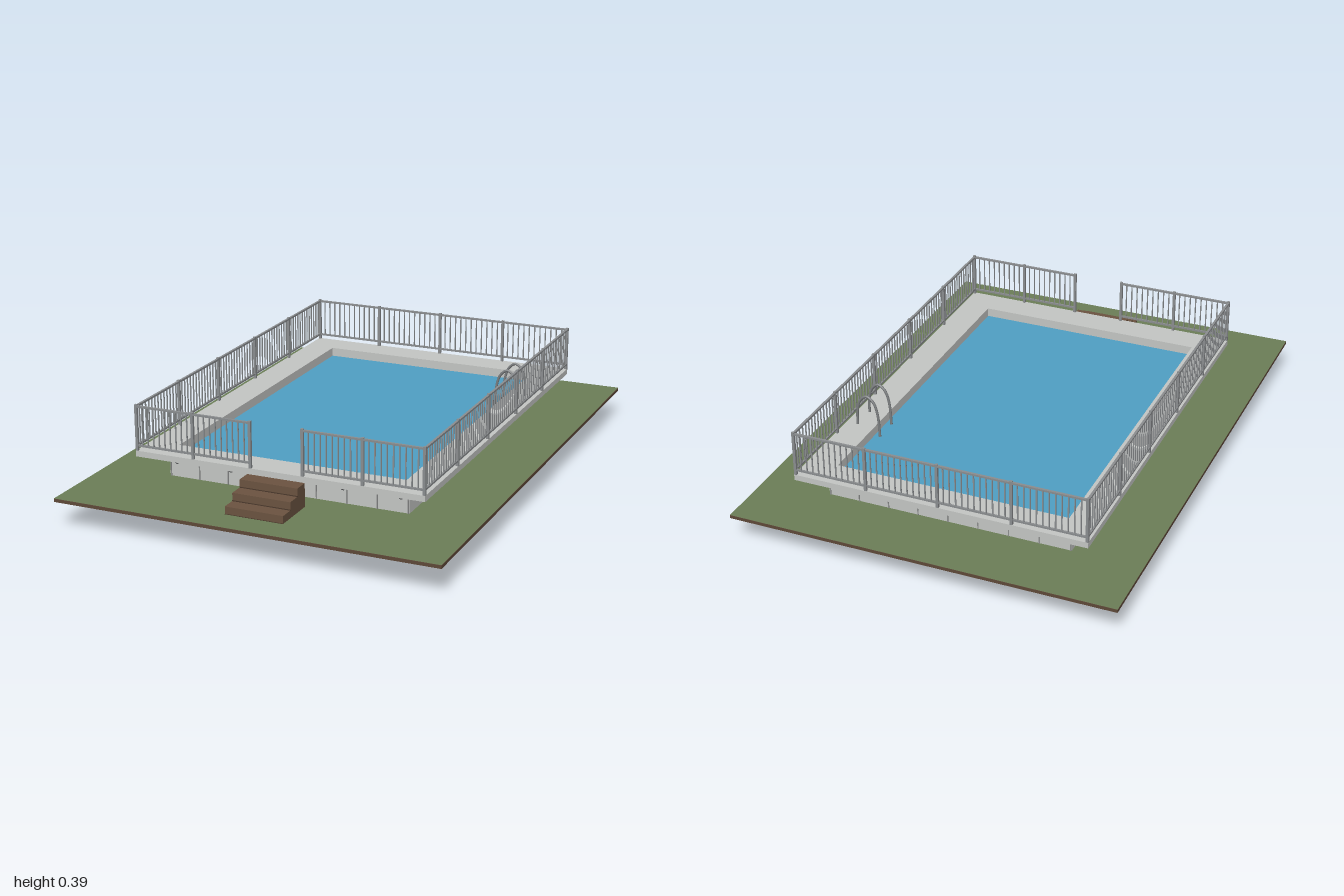
import * as THREE from 'three';

const mat = (name, color, side = THREE.FrontSide) => {
  const m = new THREE.MeshStandardMaterial({ color, side });
  m.name = name;
  return m;
};

export function createModel() {
  const grass = mat('grass green', 0x6b7e57);
  const soil = mat('soil brown', 0x5e4838);
  const wood = mat('step wood', 0x6b5340);
  const woodDark = mat('dark wood', 0x4a382b);
  const concrete = mat('light concrete', 0xc4c6c4);
  const waterBlue = mat('water blue', 0x4f9fc4, THREE.DoubleSide);
  const floorBlue = mat('floor blue', 0x2b68a0, THREE.DoubleSide);
  const steel = mat('fence steel', 0x8a8d8f);
  const seam = mat('seam grey', 0x8c8e8d);
  const ladderSteel = mat('ladder steel', 0x7d8082);

  const root = new THREE.Group();
  root.name = 'raisedPool';
  const CZ = -0.055; // pool centre along z
  const PX = 0.44, PZ = 0.66; // half size of the water

  const add = (name, geo, material, parent = root) => {
    const m = new THREE.Mesh(geo, material);
    m.name = name;
    parent.add(m);
    return m;
  };
  const box = (name, w, h, d, x, y, z, material, parent) => {
    const m = add(name, new THREE.BoxGeometry(w, h, d), material, parent);
    m.position.set(x, y, z);
    return m;
  };
  const group = (name) => {
    const g = new THREE.Group();
    g.name = name;
    root.add(g);
    return g;
  };
  // Rectangle with the pool opening cut out, z measured in the model frame
  const ringShape = (hx, hz, cz) => {
    const rect = (P, a, b, c) => new P([
      new THREE.Vector2(-a, -c - b), new THREE.Vector2(a, -c - b),
      new THREE.Vector2(a, -c + b), new THREE.Vector2(-a, -c + b)]);
    const s = rect(THREE.Shape, hx, hz, cz);
    s.holes.push(rect(THREE.Path, PX, PZ, CZ));
    return s;
  };
  const ring = (name, hx, hz, cz, y0, y1, material) => {
    const g = new THREE.ExtrudeGeometry(ringShape(hx, hz, cz), { depth: y1 - y0, bevelEnabled: false });
    g.rotateX(-Math.PI / 2).translate(0, y0, 0);
    return add(name, g, material);
  };

  // Ground with the pool opening
  ring('soilSlab', 0.722, 1, 0, 0.1, 0.112, soil);
  const lawn = new THREE.ShapeGeometry(ringShape(0.722, 1, 0));
  add('lawn', lawn.rotateX(-Math.PI / 2).translate(0, 0.113, 0), grass);

  // Pool wall, deck, water and floor
  ring('poolWall', 0.463, 0.69, CZ, 0.112, 0.2, concrete);
  ring('deck', 0.553, 0.775, CZ, 0.2, 0.222, concrete);
  const sheet = (name, y, material) => add(name,
    new THREE.PlaneGeometry(PX * 2, PZ * 2).rotateX(-Math.PI / 2).translate(0, y, CZ), material);
  sheet('water', 0.188, waterBlue);
  sheet('poolFloor', 0, floorBlue);

  // Panel seams on the end walls
  const seams = group('panelSeams');
  for (const s of [-1, 1])
    for (let i = -4; i <= 4; i++)
      box('seam', 0.004, 0.088, 0.004, i * 0.1147, 0.156, CZ + s * 0.691, seam, seams);

  // Slanted braces under the deck overhang
  const braces = group('deckBraces');
  const brace = (x, z, angle) => {
    const holder = new THREE.Group();
    holder.position.set(x, 0.183, z);
    holder.rotation.y = angle;
    const b = box('brace', 0.008, 0.008, 0.062, 0, 0, 0.024, steel, holder);
    b.rotation.x = -0.66;
    braces.add(holder);
  };
  for (let i = -3; i <= 3; i++) {
    brace(0.463, CZ + i * 0.218, Math.PI / 2);
    brace(-0.463, CZ + i * 0.218, -Math.PI / 2);
  }
  for (let i = -2; i <= 2; i++) {
    brace(i * 0.2165, CZ + 0.69, 0);
    brace(i * 0.2165, CZ - 0.69, Math.PI);
  }

  // Railing run between two points, divided into bays
  const railing = (name, x0, z0, x1, z1, bays, perBay) => {
    const g = group(name);
    const alongX = z0 === z1;
    const len = alongX ? Math.abs(x1 - x0) : Math.abs(z1 - z0);
    const cx = (x0 + x1) / 2, cz = (z0 + z1) / 2;
    for (const [y, t] of [[0.387, 0.009], [0.241, 0.007]])
      box('rail', alongX ? len : t, 0.007, alongX ? t : len, cx, y, cz, steel, g);
    const n = bays * perBay;
    for (let i = 0; i <= n; i++) {
      const x = x0 + (x1 - x0) * i / n, z = z0 + (z1 - z0) * i / n;
      if (i % perBay === 0) box('post', 0.01, 0.172, 0.01, x, 0.308, z, steel, g);
      else box('baluster', 0.004, 0.146, 0.004, x, 0.314, z, steel, g);
    }
  };
  const FX = 0.548, ZF = 0.715, ZB = -0.825;
  railing('leftRailing', FX, ZF, FX, ZB, 5, 14);
  railing('rightRailing', -FX, ZF, -FX, ZB, 5, 14);
  railing('backRailing', -FX, ZB, FX, ZB, 4, 12);
  railing('frontRailingLeft', 0.1, ZF, FX, ZF, 2, 10);
  railing('frontRailingRight', -FX, ZF, -0.1, ZF, 2, 10);

  // Entry steps, with a dark joint at the foot of each riser
  const steps = group('entrySteps');
  for (let i = 0; i < 3; i++) {
    const z1 = 0.89 - i * 0.056, top = 0.141 + i * 0.0295;
    box('step', 0.22, top - 0.112, z1 - 0.72, 0, (top + 0.112) / 2, (z1 + 0.72) / 2, wood, steps);
    box('stepJoint', 0.22, 0.003, 0.002, 0, top - 0.028, z1 + 0.001, woodDark, steps);
  }

  // Ladder with looped handrails
  const ladder = group('ladder');
  const path = [[0.508, 0.22], [0.506, 0.28], [0.493, 0.325], [0.467, 0.345], [0.44, 0.325],
    [0.425, 0.28], [0.42, 0.22], [0.418, 0.1], [0.421, 0.05], [0.433, 0.026]];
  for (const z of [-0.335, -0.43]) {
    const curve = new THREE.CatmullRomCurve3(path.map(([x, y]) => new THREE.Vector3(x, y, z)));
    add('ladderRail', new THREE.TubeGeometry(curve, 48, 0.005, 8), ladderSteel, ladder);
  }
  for (const y of [0.078, 0.125, 0.172])
    box('rung', 0.022, 0.005, 0.095, 0.419, y, -0.3825, ladderSteel, ladder);

  return root;
}
